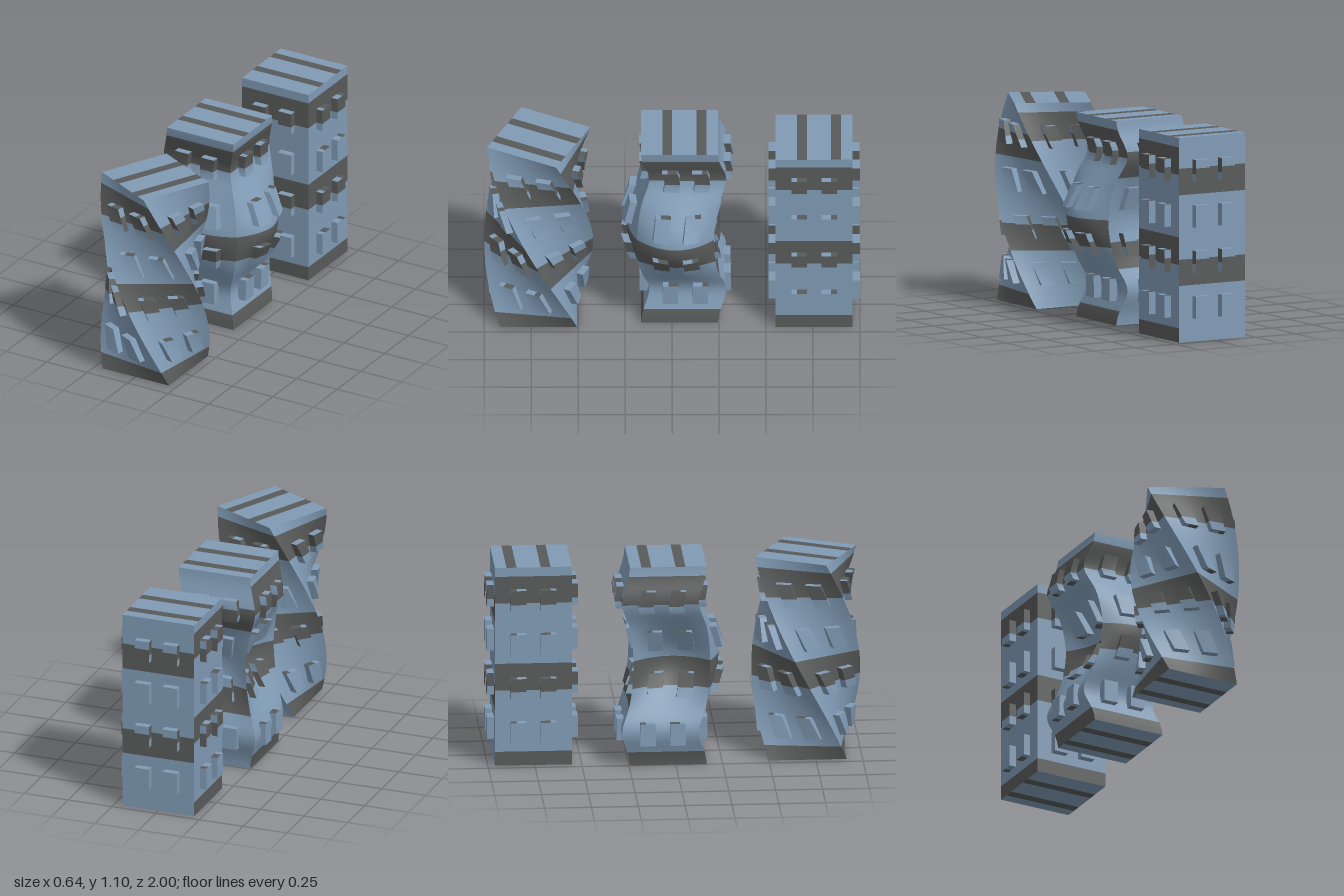
import * as THREE from 'three';

const H = 1.1, R = 0.205; // tower height and half width
const wall = new THREE.MeshStandardMaterial({ color: 0x809bb5 });
wall.name = 'blue wall';
const stripe = new THREE.MeshStandardMaterial({ color: 0x595a5a });
stripe.name = 'grey stripe';

// Stripe ranges as fractions of a face's height (or depth, on roof and base)
const SIDE_BANDS = [[0, 0.07], [0.38, 0.515], [0.82, 0.955]];
const BACK_BANDS = [[0.277, 0.405], [0.72, 0.85]];

// Even subdivisions of a range plus the cuts that fall inside it
function ticks(lo, hi, n, cuts = []) {
  const inner = cuts.filter((c) => c > lo + 1e-4 && c < hi - 1e-4);
  const even = [];
  for (let i = 0; i <= n; i++) {
    const t = lo + ((hi - lo) * i) / n;
    if (i === 0 || i === n || inner.every((c) => Math.abs(c - t) > 0.004)) even.push(t);
  }
  return [...even, ...inner].sort((a, b) => a - b);
}

// A box with striped faces, its points moved by a bending rule
function stripedBox(name, lo, hi, segments, bend) {
  const pos = [], light = [], dark = [];
  for (let a = 0; a < 3; a++) for (const s of [-1, 1]) {
    const u = (a + 1) % 3, v = (a + 2) % 3;
    const bandAxis = a === 1 ? 2 : 1;
    const bands = (a === 1 || (a === 2 && s < 0) ? BACK_BANDS : SIDE_BANDS)
      .map((b) => b.map((f) => (a === 1 ? R - f * 2 * R : f * H)).sort((p, q) => p - q));
    const cuts = bands.flat();
    const us = ticks(lo[u], hi[u], segments[u], u === bandAxis ? cuts : []);
    const vs = ticks(lo[v], hi[v], segments[v], v === bandAxis ? cuts : []);
    const base = pos.length / 3;
    for (const q of vs) for (const p of us) {
      const c = [0, 0, 0];
      c[a] = s < 0 ? lo[a] : hi[a];
      c[u] = p;
      c[v] = q;
      pos.push(...bend(...c));
    }
    for (let j = 0; j < vs.length - 1; j++) for (let i = 0; i < us.length - 1; i++) {
      const mid = u === bandAxis ? (us[i] + us[i + 1]) / 2 : (vs[j] + vs[j + 1]) / 2;
      const list = bands.some((b) => mid > b[0] && mid < b[1]) ? dark : light;
      const A = base + j * us.length + i, B = A + 1, D = A + us.length, C = D + 1;
      if (s > 0) list.push(A, B, C, A, C, D);
      else list.push(A, C, B, A, D, C);
    }
  }
  const g = new THREE.BufferGeometry();
  g.setAttribute('position', new THREE.Float32BufferAttribute(pos, 3));
  g.setIndex([...light, ...dark]);
  g.addGroup(0, light.length, 0);
  g.addGroup(light.length, dark.length, 1);
  g.computeVertexNormals();
  const m = new THREE.Mesh(g, [wall, stripe]);
  m.name = name;
  return m;
}

// A tower: body plus two columns of four window blocks on every side
function tower(name, x, z, bend) {
  const t = new THREE.Group();
  t.name = name;
  t.position.set(x, 0, z);
  t.add(stripedBox('body', [-R, 0, -R], [R, H, R], [14, 48, 14], bend));
  for (let row = 0; row < 4; row++) {
    const y0 = 0.125 + row * 0.245, y1 = y0 + 0.12;
    for (const col of [-0.08, 0.08]) for (const s of [-1, 1]) {
      const a = Math.min(s * 0.195, s * 0.243), b = Math.max(s * 0.195, s * 0.243);
      t.add(stripedBox('window', [a, y0, col - 0.041], [b, y1, col + 0.041], [1, 1, 1], bend));
      t.add(stripedBox('window', [col - 0.041, y0, a], [col + 0.041, y1, b], [1, 1, 1], bend));
    }
  }
  return t;
}

const straight = (x, y, z) => [x, y, z];

// Turns steadily about the vertical axis
function twist(x, y, z) {
  const c = Math.cos(1.85 * y), s = Math.sin(1.85 * y);
  return [x * c - z * s, y, x * s + z * c];
}

// Swells toward +x and +z halfway up and leans back above and below
function wave(x, y, z) {
  const bump = (at, w) => Math.exp(-(((y - at) / w) ** 2));
  const back = 0.047 * (bump(0.19, 0.11) + bump(0.91, 0.11));
  const swell = bump(0.55, 0.19);
  const middle = (t) => 1 - 0.75 * Math.min(1, (t / R) ** 2);
  return [
    x - back + 0.13 * swell * middle(z),
    y,
    z - back + 0.075 * swell * middle(x),
  ];
}

export function createModel() {
  const model = new THREE.Group();
  model.name = 'towers';
  model.add(tower('straightTower', 0, -0.757, straight));
  model.add(tower('wavyTower', -0.04, -0.0375, wave));
  model.add(tower('twistedTower', 0, 0.71, twist));
  return model;
}
